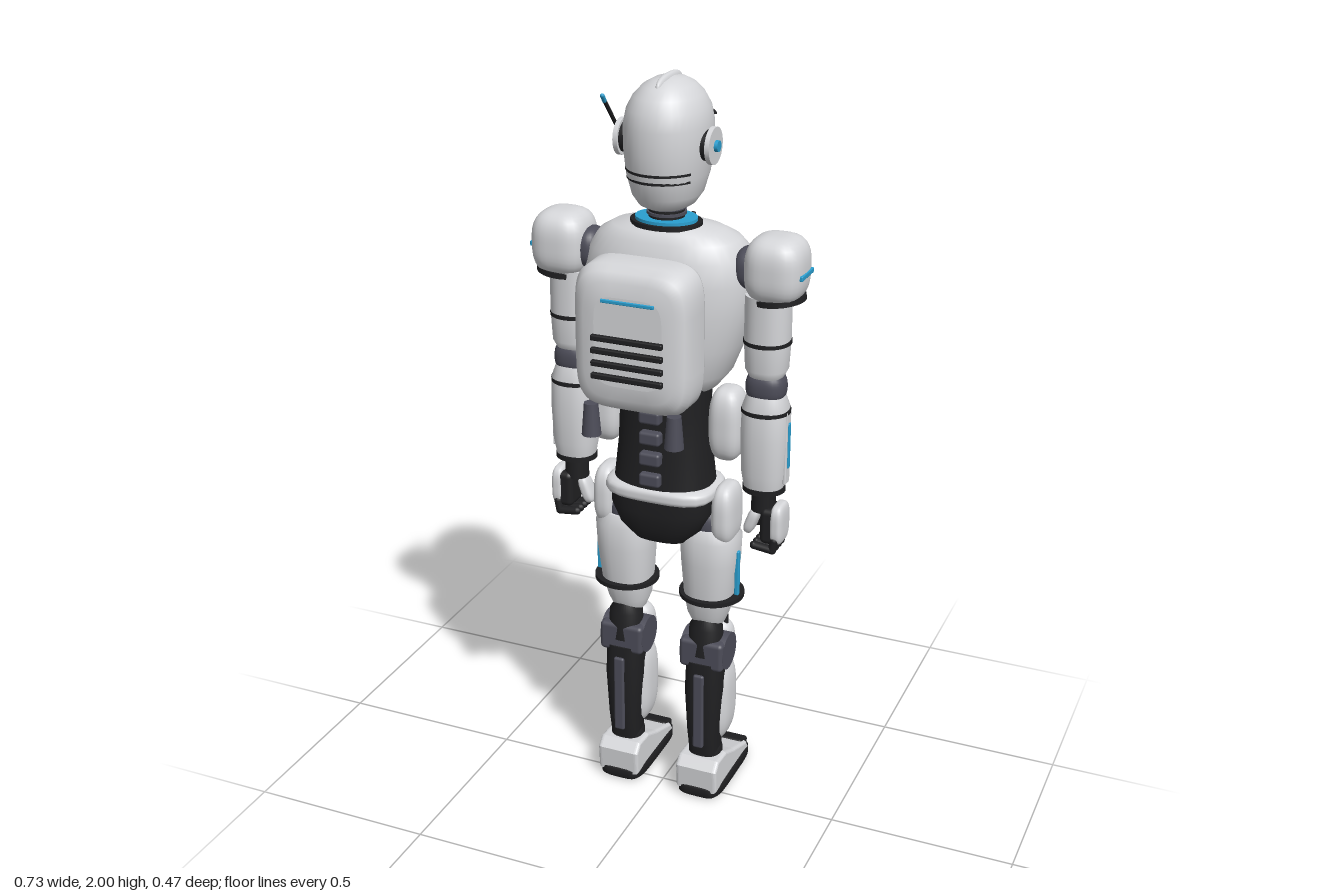
import * as THREE from 'three';
import { RoundedBoxGeometry } from 'three/addons/geometries/RoundedBoxGeometry.js';

const mat = (name, color, side = THREE.FrontSide) =>
  Object.assign(new THREE.MeshStandardMaterial({ color, side }), { name });

// Rounded block: a sphere pushed out towards a box as p grows
function blob(hx, hy, hz, p = 2.5) {
  const g = new THREE.SphereGeometry(1, 32, 24);
  const a = g.attributes.position, n = g.attributes.normal;
  for (let i = 0; i < a.count; i++) {
    const v = [a.getX(i), a.getY(i), a.getZ(i)];
    const k = Math.pow(v.reduce((s, c) => s + Math.abs(c) ** p, 0), -1 / p);
    const h = [hx, hy, hz], q = v.map(c => c * k);
    a.setXYZ(i, q[0] * hx, q[1] * hy, q[2] * hz);
    const m = new THREE.Vector3(...q.map((c, j) => Math.sign(c) * Math.abs(c) ** (p - 1) / h[j])).normalize();
    n.setXYZ(i, m.x, m.y, m.z);
  }
  return g;
}

// Skin over stacked superellipse sections [y, halfX, halfZ, centreZ, centreX], bottom to top
function loft(sections, p = 2, seg = 36) {
  const pos = [], idx = [];
  const ring = ([y, hx, hz, cz = 0, cx = 0]) => {
    for (let i = 0; i < seg; i++) {
      const a = i / seg * Math.PI * 2, c = Math.cos(a), s = Math.sin(a);
      pos.push(cx + hx * Math.sign(c) * Math.abs(c) ** (2 / p), y, cz + hz * Math.sign(s) * Math.abs(s) ** (2 / p));
    }
  };
  sections.forEach(ring);
  for (let r = 0; r < sections.length - 1; r++) for (let i = 0; i < seg; i++) {
    const a = r * seg + i, b = r * seg + (i + 1) % seg, c = a + seg, d = b + seg;
    idx.push(a, c, b, b, c, d);
  }
  for (const top of [false, true]) {
    const s = sections[top ? sections.length - 1 : 0], base = pos.length / 3;
    ring(s);
    pos.push(s[4] || 0, s[0], s[3] || 0);
    for (let i = 0; i < seg; i++) {
      const a = base + i, b = base + (i + 1) % seg;
      idx.push(base + seg, top ? b : a, top ? a : b);
    }
  }
  const g = new THREE.BufferGeometry();
  g.setAttribute('position', new THREE.Float32BufferAttribute(pos, 3));
  g.setIndex(idx);
  g.computeVertexNormals();
  return g;
}

const box = (w, h, d, r = 0.008) => new RoundedBoxGeometry(w, h, d, 3, Math.min(r, w / 2.1, h / 2.1, d / 2.1));
const disc = (rx, rz, h) => new THREE.CylinderGeometry(1, 1, h, 36).scale(rx, 1, rz);
const sector = (rx, rz, h, mid, half) => new THREE.CylinderGeometry(1, 1, h, 32, 1, false, mid - half, half * 2).scale(rx, 1, rz);
const sideDisc = (r, w) => new THREE.CylinderGeometry(r, r, w, 28).rotateZ(Math.PI / 2);

export function createModel() {
  const white = mat('shell white', 0xd6d7da), dark = mat('frame black', 0x202022);
  const grey = mat('joint grey', 0x4d4d59), blue = mat('accent blue', 0x2a9fd0);
  const model = new THREE.Group();
  const group = (name, parent = model) => { const g = new THREE.Group(); g.name = name; parent.add(g); return g; };
  const add = (parent, name, geo, material, x = 0, y = 0, z = 0, rx = 0, ry = 0, rz = 0) => {
    const m = new THREE.Mesh(geo, material);
    m.name = name; m.position.set(x, y, z); m.rotation.set(rx, ry, rz);
    parent.add(m);
    return m;
  };
  const rod = (parent, name, a, b, r, material) => {
    const path = new THREE.LineCurve3(new THREE.Vector3(...a), new THREE.Vector3(...b));
    add(parent, name, new THREE.TubeGeometry(path, 1, r, 10), material);
    for (const e of [a, b]) add(parent, name + 'End', new THREE.SphereGeometry(r, 10, 8), material, ...e);
  };

  // Head, facing -z
  const head = group('head');
  add(head, 'skull', loft([[1.675, 0.05, 0.06, -0.025], [1.685, 0.068, 0.082, -0.027], [1.71, 0.085, 0.102, -0.03],
    [1.76, 0.098, 0.122, -0.034], [1.82, 0.105, 0.129, -0.035], [1.88, 0.106, 0.13, -0.035], [1.92, 0.098, 0.121, -0.035],
    [1.95, 0.082, 0.104, -0.035], [1.973, 0.06, 0.08, -0.035], [1.986, 0.037, 0.052, -0.035], [1.991, 0.01, 0.015, -0.035]], 2.15), white);
  add(head, 'crest', blob(0.012, 0.03, 0.075), white, 0, 1.97, -0.035);
  add(head, 'visor', sector(0.112, 0.137, 0.115, Math.PI, 1.15), dark, 0, 1.838, -0.035);
  add(head, 'visorLight', sector(0.114, 0.139, 0.012, Math.PI, 0.65), blue, 0, 1.835, -0.035);
  [1.775, 1.755].forEach((y, i) =>
    add(head, 'rearSeam', sector(0.103 - i * 0.003, 0.128 - i * 0.004, 0.006, 0, 1.0), dark, 0, y, -0.035));
  for (let i = 0; i < 3; i++) add(head, 'mouthSlot', box(0.06 - i * 0.008, 0.008, 0.03), dark, 0, 1.76 - i * 0.02, -0.143 + i * 0.008);
  for (const s of [-1, 1]) {
    add(head, 'earMount', sideDisc(0.038, 0.03), dark, s * 0.108, 1.835, -0.025);
    add(head, 'earDisc', sideDisc(0.046, 0.012), white, s * 0.12, 1.835, -0.025);
    add(head, 'earLight', sideDisc(0.014, 0.012), blue, s * 0.129, 1.835, -0.025);
  }
  rod(head, 'antenna', [-0.132, 1.86, -0.02], [-0.134, 1.935, 0.045], 0.005, dark);
  rod(head, 'antennaTip', [-0.134, 1.935, 0.045], [-0.134, 1.95, 0.057], 0.0055, blue);

  // Neck and collar
  const neck = group('neck');
  add(neck, 'neckColumn', disc(0.045, 0.045, 0.08), dark, 0, 1.655, -0.022);
  for (const y of [1.66, 1.675]) add(neck, 'neckRing', disc(0.05, 0.05, 0.007), grey, 0, y, -0.022);
  add(neck, 'collarBase', disc(0.093, 0.072, 0.012), dark, 0, 1.635, -0.02);
  add(neck, 'collarLight', disc(0.08, 0.064, 0.014), blue, 0, 1.642, -0.02);

  // Torso
  const torso = group('torso');
  add(torso, 'chest', loft([[1.2, 0.1, 0.08, -0.045], [1.21, 0.13, 0.105, -0.047], [1.25, 0.162, 0.128, -0.05], [1.33, 0.193, 0.145, -0.054],
    [1.42, 0.217, 0.151, -0.056], [1.5, 0.224, 0.15, -0.056], [1.56, 0.212, 0.136, -0.053], [1.6, 0.182, 0.112, -0.045],
    [1.622, 0.145, 0.09, -0.035], [1.634, 0.09, 0.06, -0.025]], 2.35), white);
  add(torso, 'coreMount', new THREE.CylinderGeometry(0.04, 0.04, 0.02, 6).rotateX(Math.PI / 2), dark, 0, 1.45, -0.208);
  add(torso, 'coreLight', new THREE.CylinderGeometry(0.028, 0.028, 0.014, 6).rotateX(Math.PI / 2), blue, 0, 1.45, -0.217);
  rod(torso, 'coreRod', [0, 1.46, -0.21], [0, 1.605, -0.195], 0.007, dark);
  for (const s of [-1, 1]) {
    for (let i = 0; i < 3; i++)
      add(torso, 'chestSlit', box(0.05 - i * 0.01, 0.006, 0.02, 0.002), dark, s * 0.14, 1.525 - i * 0.014, -0.177 - i * 0.002, 0, s * -0.4);
    add(torso, 'chestPort', box(0.02, 0.014, 0.02, 0.003), dark, s * 0.165, 1.37, -0.15, 0, s * -0.6);
  }

  // Backpack
  const pack = group('backpack');
  add(pack, 'packShell', loft([[-0.068, 0.135, 0.165], [-0.06, 0.15, 0.182], [-0.04, 0.157, 0.19], [0.03, 0.156, 0.188],
    [0.052, 0.143, 0.174], [0.063, 0.12, 0.15], [0.067, 0.09, 0.115]], 5, 60), white, 0, 1.393, 0.154, Math.PI / 2);
  add(pack, 'packLight', box(0.14, 0.009, 0.009, 0.002), blue, 0, 1.497, 0.221);
  for (let i = 0; i < 4; i++) add(pack, 'packVent', box(0.19, 0.015, 0.014, 0.004), dark, 0, 1.402 - i * 0.033, 0.227);
  for (const s of [-1, 1]) add(pack, 'thruster', new THREE.CylinderGeometry(0.018, 0.025, 0.085, 20), grey, s * 0.112, 1.172, 0.195);

  // Waist
  const waist = group('waist');
  add(waist, 'waistCore', loft([[0.93, 0.135, 0.1, -0.015], [1.05, 0.122, 0.09, -0.015], [1.15, 0.117, 0.09, -0.015], [1.25, 0.12, 0.1, -0.02]], 2.5), dark);
  for (let i = 0; i < 4; i++) {
    add(waist, 'abdomenPlate', blob(0.088 - i * 0.007, 0.027, 0.04, 3), white, 0, 1.195 - i * 0.053, -0.125);
    add(waist, 'spineBlock', box(0.058, 0.036, 0.035), grey, 0, 1.15 - i * 0.058, 0.08);
  }

  // Pelvis
  const hips = group('pelvis');
  add(hips, 'belt', blob(0.15, 0.027, 0.108, 3.5), white, 0, 0.927, -0.015);
  add(hips, 'beltLight', box(0.05, 0.016, 0.012, 0.003), blue, 0, 0.928, -0.123);
  add(hips, 'pelvisCore', loft([[0.78, 0.075, 0.05, 0], [0.82, 0.115, 0.072, 0], [0.87, 0.14, 0.085, -0.005], [0.92, 0.143, 0.09, -0.01]], 2.6), dark);
  add(hips, 'frontGuard', loft([[0.755, 0.025, 0.016, -0.125], [0.79, 0.042, 0.024, -0.13], [0.86, 0.058, 0.024, -0.125], [0.91, 0.06, 0.02, -0.105]], 3), white);
  add(hips, 'underBlock', box(0.11, 0.03, 0.07), grey, 0, 0.785, -0.03);

  for (const s of [-1, 1]) {
    const side = s > 0 ? 'left' : 'right';
    add(waist, 'flankPlate', blob(0.045, 0.1, 0.055, 3), white, s * 0.168, 1.12, -0.03);
    add(hips, 'hipPlate', blob(0.032, 0.085, 0.06, 3), white, s * 0.168, 0.865, -0.03);

    // Arm
    const arm = group(side + 'Arm'), ax = s * 0.267, az = -0.035;
    add(arm, 'shoulderJoint', blob(0.035, 0.052, 0.052), grey, s * 0.215, 1.54, az);
    add(arm, 'shoulderShell', blob(0.076, 0.086, 0.08, 3), white, s * 0.288, 1.547, az);
    add(arm, 'shoulderLight', box(0.01, 0.014, 0.085, 0.003), blue, s * 0.362, 1.54, az);
    add(arm, 'shoulderBand', disc(0.068, 0.07, 0.014), dark, s * 0.293, 1.472, az, 0, 0, s * 0.1);
    add(arm, 'upperArm', loft([[1.265, 0.044, 0.044], [1.285, 0.054, 0.054], [1.36, 0.058, 0.058], [1.48, 0.057, 0.06]], 2.3), white, ax, 0, az);
    add(arm, 'upperArmBand', disc(0.061, 0.062, 0.01), dark, ax, 1.357, az);
    add(arm, 'elbow', blob(0.052, 0.047, 0.046), grey, ax, 1.235, az);
    add(arm, 'forearm', loft([[0.95, 0.05, 0.046], [1.0, 0.058, 0.056], [1.1, 0.062, 0.061], [1.18, 0.06, 0.056], [1.215, 0.048, 0.044]], 2.4), white, ax, 0, az);
    add(arm, 'forearmBand', disc(0.064, 0.061, 0.01), dark, ax, 1.172, az);
    add(arm, 'wristBand', disc(0.056, 0.052, 0.014), dark, ax, 0.955, az);
    add(arm, 'forearmFrame', box(0.008, 0.2, 0.032, 0.003), white, s * 0.326, 1.075, az);
    add(arm, 'forearmLight', box(0.009, 0.125, 0.014, 0.003), blue, s * 0.329, 1.08, az);
    for (let i = 0; i < 3; i++) add(arm, 'forearmVent', box(0.05, 0.007, 0.014, 0.002), dark, ax, 1.055 - i * 0.017, az - 0.055);

    // Hand
    const hand = group(side + 'Hand', arm);
    add(hand, 'wrist', disc(0.032, 0.032, 0.07), dark, ax, 0.925, az);
    add(hand, 'palm', box(0.05, 0.1, 0.075, 0.015), dark, s * 0.293, 0.855, az);
    add(hand, 'handShell', blob(0.018, 0.056, 0.042, 3.5), white, s * 0.312, 0.86, az);
    for (let i = 0; i < 4; i++) {
      const z = az - 0.033 + i * 0.022;
      rod(hand, 'finger', [s * 0.31, 0.82, z], [s * 0.305, 0.792, z], 0.011, dark);
      rod(hand, 'fingerCurl', [s * 0.305, 0.792, z], [s * 0.255, 0.798, z], 0.011, dark);
    }
    rod(hand, 'thumb', [s * 0.275, 0.88, az - 0.035], [s * 0.238, 0.83, az - 0.042], 0.012, dark);
    add(hand, 'thumbShell', blob(0.015, 0.04, 0.024, 3), white, s * 0.238, 0.855, az, 0, 0, s * -0.35);

    // Thigh
    const leg = group(side + 'Leg'), lx = s * 0.118;
    add(leg, 'hipJoint', blob(0.05, 0.05, 0.05), grey, s * 0.115, 0.83, -0.03);
    add(leg, 'thigh', loft([[0.525, 0.042, 0.045, -0.045, s * 0.116], [0.56, 0.056, 0.06, -0.043, s * 0.116], [0.62, 0.068, 0.07, -0.04, s * 0.12],
      [0.72, 0.077, 0.078, -0.038, s * 0.122], [0.79, 0.081, 0.076, -0.036, s * 0.122], [0.82, 0.066, 0.06, -0.035, s * 0.12]], 2.4), white);
    add(leg, 'thighBand', disc(0.088, 0.086, 0.012), dark, s * 0.124, 0.615, -0.04);
    add(leg, 'thighLight', box(0.012, 0.13, 0.014, 0.003), blue, s * 0.2, 0.69, -0.03);
    add(leg, 'thighPlate', blob(0.045, 0.065, 0.016, 3), white, s * 0.122, 0.72, -0.113);
    add(leg, 'hamstring', loft([[0.44, 0.05, 0.045], [0.52, 0.046, 0.042], [0.58, 0.012, 0.012]]), dark, lx, 0, -0.018);

    // Knee and shin
    add(leg, 'kneeHinge', sideDisc(0.052, 0.125), grey, lx, 0.445, -0.033);
    add(leg, 'kneeBack', box(0.125, 0.085, 0.05, 0.012), grey, lx, 0.445, 0.0);
    add(leg, 'kneeCap', blob(0.05, 0.062, 0.036, 2.6), white, lx, 0.445, -0.1, 0.15);
    rod(leg, 'kneePiston', [s * 0.15, 0.43, -0.085], [s * 0.14, 0.575, -0.1], 0.008, dark);
    add(leg, 'calfFrame', loft([[0.1, 0.04, 0.04, -0.025], [0.2, 0.044, 0.047, -0.015], [0.33, 0.052, 0.052, -0.017], [0.42, 0.05, 0.05, -0.02]], 3), dark, lx);
    add(leg, 'calfStrip', box(0.03, 0.23, 0.014, 0.006), grey, lx, 0.275, 0.033);
    add(leg, 'shinShell', blob(0.063, 0.137, 0.064, 3), white, lx, 0.28, -0.064);

    // Foot
    const foot = group(side + 'Foot', leg);
    add(foot, 'sole', loft([[0, 0.058, 0.134], [0.008, 0.065, 0.142], [0.03, 0.065, 0.142], [0.036, 0.06, 0.137]], 5, 48), dark, lx, 0.004, -0.09);
    const profile = new THREE.Shape([[-0.04, 0.035], [-0.044, 0.095], [-0.025, 0.115], [0.03, 0.112], [0.09, 0.085], [0.19, 0.05], [0.2, 0.035]]
      .map(p => new THREE.Vector2(...p)));
    add(foot, 'footShell', new THREE.ExtrudeGeometry(profile, { depth: 0.098, bevelSize: 0.008, bevelThickness: 0.011, bevelSegments: 4 })
      .translate(0, 0, -0.049).rotateY(Math.PI / 2), white, lx);
    add(foot, 'toeCap', box(0.1, 0.022, 0.06, 0.008), dark, lx, 0.05, -0.198, -0.3);
    add(foot, 'ankle', blob(0.045, 0.04, 0.045), dark, lx, 0.12, -0.025);
  }
  return model;
}
